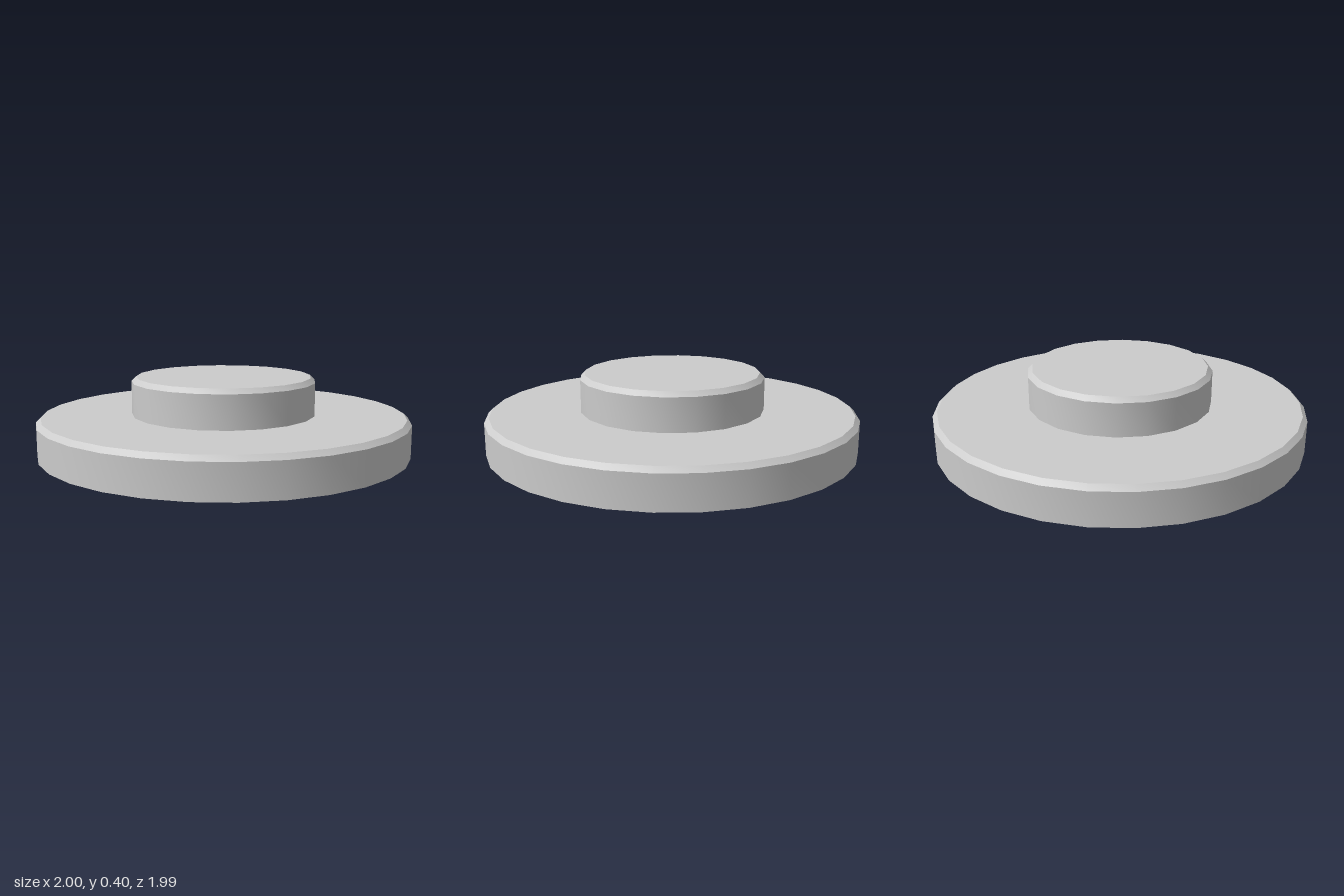
import * as THREE from 'three';
import { toCreasedNormals } from 'three/addons/utils/BufferGeometryUtils.js';

const material = new THREE.MeshStandardMaterial({ color: 0xcccccc });

// Disc with a chamfered top rim; the sides are smooth and the rims stay sharp
function chamferedDisc(name, radius, bottom, top, chamfer, segments) {
  const profile = [
    [0, bottom],
    [radius, bottom],
    [radius, top - chamfer],
    [radius - chamfer, top],
    [0, top],
  ].map(([r, y]) => new THREE.Vector2(r, y));
  const geometry = new THREE.LatheGeometry(profile, segments);
  geometry.rotateY(Math.PI / 2);
  const mesh = new THREE.Mesh(toCreasedNormals(geometry, Math.PI / 6), material);
  mesh.name = name;
  return mesh;
}

export function createModel() {
  const model = new THREE.Group();
  model.name = 'steppedDisc';
  // Wide base plate
  model.add(chamferedDisc('base', 1, 0, 0.2, 0.025, 30));
  // Raised central boss
  model.add(chamferedDisc('boss', 0.497, 0.2, 0.402, 0.025, 20));
  return model;
}
